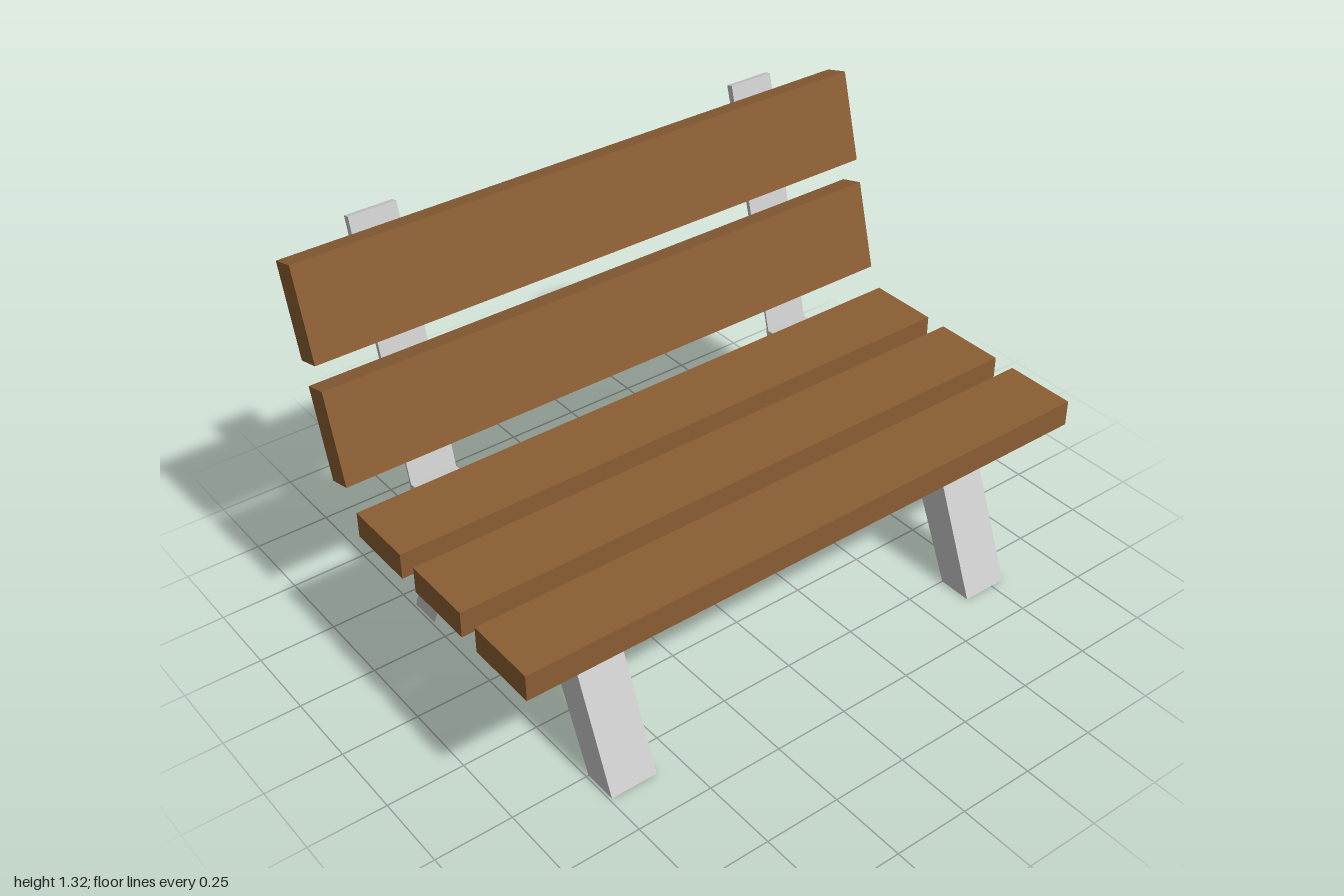
import * as THREE from 'three';

const wood = new THREE.MeshStandardMaterial({ color: 0x8b5e34, flatShading: true });
const metal = new THREE.MeshStandardMaterial({ color: 0xcccccc, flatShading: true });

// Side profile in x/y, extruded along z from z0 to z1
function prism(name, points, z0, z1, material) {
  const shape = new THREE.Shape(points.map(([x, y]) => new THREE.Vector2(x, y)));
  const geometry = new THREE.ExtrudeGeometry(shape, { depth: z1 - z0, bevelEnabled: false });
  geometry.translate(0, 0, z0);
  const mesh = new THREE.Mesh(geometry, material);
  mesh.name = name;
  return mesh;
}

// One support: bent strap (seat rail plus tapered back strut) and two splayed legs
function createSupport(z0, z1) {
  const support = new THREE.Group();
  support.name = 'support';
  support.add(
    prism('seatRailAndBackStrut', [
      [-0.39, 0.47], [0.55, 0.475], [0.55, 0.505], [-0.34, 0.505], [-0.385, 0.502],
      [-0.597, 1.316], [-0.62, 1.31], [-0.397, 0.52],
    ], z0, z1, metal),
    prism('rearLeg', [[-0.435, 0], [-0.325, 0], [-0.12, 0.472], [-0.25, 0.472]], z0, z1, metal),
    prism('frontLeg', [[0.5, 0], [0.612, 0], [0.418, 0.474], [0.285, 0.474]], z0, z1, metal),
  );
  return support;
}

export function createModel() {
  const bench = new THREE.Group();
  bench.name = 'bench';

  bench.add(createSupport(0.585, 0.742), createSupport(-0.8, -0.643));

  // Beam joining the two supports under the seat
  const beam = new THREE.Mesh(new THREE.BoxGeometry(0.155, 0.03, 1.23), metal);
  beam.name = 'crossBeam';
  beam.position.set(0.093, 0.488, -0.029);
  bench.add(beam);

  // Seat slats
  for (const x of [-0.118, 0.189, 0.498]) {
    const slat = new THREE.Mesh(new THREE.BoxGeometry(0.237, 0.085, 2), wood);
    slat.name = 'seatSlat';
    slat.position.set(x, 0.567, 0);
    bench.add(slat);
  }

  // Leaning backrest slats
  for (const [x, y] of [[-0.36, 0.803], [-0.46, 1.162]]) {
    const slat = new THREE.Mesh(new THREE.BoxGeometry(0.083, 0.295, 2), wood);
    slat.name = 'backSlat';
    slat.position.set(x, y, 0);
    slat.rotation.z = 0.27;
    bench.add(slat);
  }
  return bench;
}
